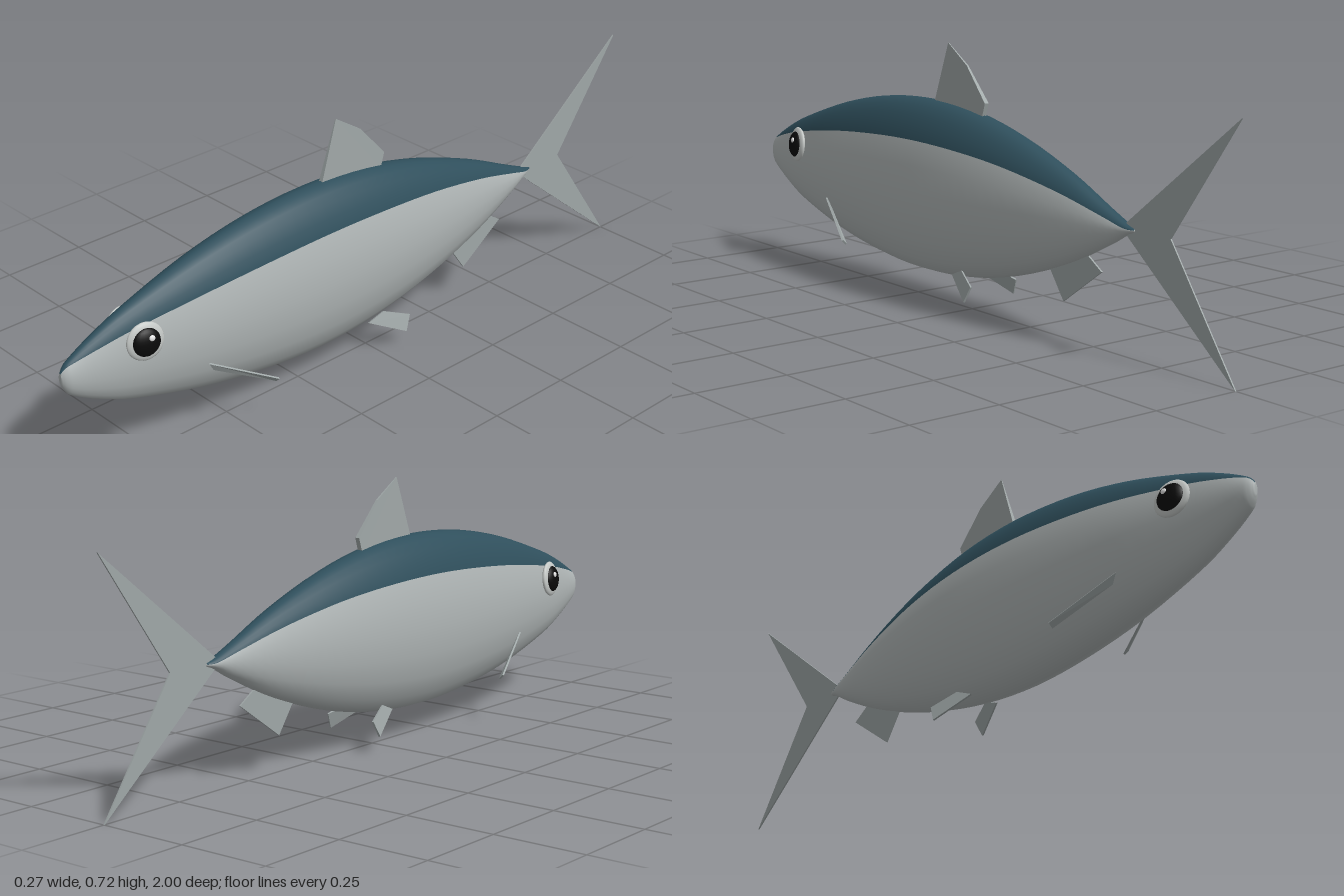
import * as THREE from 'three';

const mat = (name, color) => {
  const m = new THREE.MeshStandardMaterial({ color });
  m.name = name;
  return m;
};

// z, top, bottom, half width, height of the colour line
const STATIONS = [
  [1.0, 0.336, 0.305, 0.006, 0.335],
  [0.99, 0.35, 0.283, 0.016, 0.347],
  [0.97, 0.365, 0.262, 0.024, 0.357],
  [0.9, 0.402, 0.222, 0.037, 0.376],
  [0.8, 0.443, 0.18, 0.053, 0.397],
  [0.6, 0.505, 0.126, 0.082, 0.427],
  [0.4, 0.545, 0.092, 0.098, 0.446],
  [0.2, 0.56, 0.077, 0.105, 0.455],
  [0.0, 0.547, 0.09, 0.102, 0.45],
  [-0.2, 0.504, 0.13, 0.087, 0.43],
  [-0.4, 0.435, 0.197, 0.06, 0.391],
  [-0.55, 0.368, 0.268, 0.033, 0.349],
  [-0.62, 0.338, 0.308, 0.017, 0.328],
  [-0.65, 0.328, 0.32, 0.006, 0.325],
];

// Lofted oval body: each ring is split at the colour line
function bodyGeometry() {
  const curve = (pick) => new THREE.CatmullRomCurve3(
    STATIONS.map((s) => new THREE.Vector3(...pick.map((k) => s[k]))), false, 'catmullrom', 0.5);
  const outline = curve([0, 1, 2]), sides = curve([0, 3, 4]);
  const rings = 52, upper = 10, lower = 14, n = upper + lower;
  const pos = [], top = [], belly = [];
  for (let i = 0; i <= rings; i++) {
    const a = outline.getPoint(i / rings), b = sides.getPoint(i / rings);
    const cy = (a.y + a.z) / 2, h = (a.y - a.z) / 2;
    const start = Math.asin(THREE.MathUtils.clamp((b.z - cy) / h, -0.95, 0.95));
    for (let j = 0; j < n; j++) {
      const p = j < upper
        ? start + (Math.PI - 2 * start) * j / upper
        : Math.PI - start + (Math.PI + 2 * start) * (j - upper) / lower;
      pos.push(b.y * Math.cos(p), cy + h * Math.sin(p), a.x);
    }
  }
  for (let i = 0; i < rings; i++) {
    for (let j = 0; j < n; j++) {
      const k = (j + 1) % n, a = i * n + j, b = i * n + k, c = a + n, d = b + n;
      (j < upper ? top : belly).push(a, c, b, b, c, d);
    }
  }
  // End caps
  const last = rings * n;
  for (let j = 1; j < n - 1; j++) {
    belly.push(0, j, j + 1, last, last + j + 1, last + j);
  }
  const g = new THREE.BufferGeometry();
  g.setAttribute('position', new THREE.Float32BufferAttribute(pos, 3));
  g.setIndex([...top, ...belly]);
  g.addGroup(0, top.length, 0);
  g.addGroup(top.length, belly.length, 1);
  g.computeVertexNormals();
  return g;
}

// Upright fin on the centre plane from [z, y] points, thinning away from the base
function medianFin(points, thickness, taper = () => 1) {
  const shape = new THREE.Shape(points.map(([z, y]) => new THREE.Vector2(-z, y)));
  const g = new THREE.ExtrudeGeometry(shape, { depth: thickness, bevelEnabled: false });
  g.translate(0, 0, -thickness / 2);
  g.rotateY(Math.PI / 2);
  const p = g.attributes.position;
  for (let i = 0; i < p.count; i++) p.setX(i, p.getX(i) * taper(p.getY(i)));
  g.computeVertexNormals();
  return g;
}

// Thin four-cornered slab from its corner points
function slabFin(corners, thickness) {
  const [a, b, c, d] = corners.map((q) => new THREE.Vector3(...q));
  const normal = b.clone().sub(a).cross(d.clone().sub(a)).normalize().multiplyScalar(thickness / 2);
  const front = [a, b, c, d].map((q) => q.clone().add(normal));
  const back = [a, b, c, d].map((q) => q.clone().sub(normal));
  const tri = [];
  const quad = (p, q, r, s) => tri.push(p, q, r, p, r, s);
  quad(...front);
  quad(back[3], back[2], back[1], back[0]);
  for (let i = 0; i < 4; i++) {
    const k = (i + 1) % 4;
    quad(front[i], back[i], back[k], front[k]);
  }
  const g = new THREE.BufferGeometry().setFromPoints(tri);
  g.computeVertexNormals();
  return g;
}

export function createModel() {
  const backBlue = mat('back blue', 0x2f4f5c);
  const silver = mat('silver', 0xb0b6b6);
  const finGrey = mat('fin grey', 0x9fa7a7);
  finGrey.side = THREE.DoubleSide;
  const eyeWhite = mat('eye white', 0xc4c8c6);
  const black = mat('pupil black', 0x0a0a0a);
  const white = mat('glint white', 0xffffff);

  const fish = new THREE.Group();
  fish.name = 'fish';
  const add = (name, geometry, material, parent = fish) => {
    const m = new THREE.Mesh(geometry, material);
    m.name = name;
    parent.add(m);
    return m;
  };

  add('body', bodyGeometry(), [backBlue, silver]);

  // Fins on the centre line
  add('dorsalFin', medianFin(
    [[0.165, 0.54], [0.105, 0.72], [0.02, 0.665], [-0.063, 0.572], [-0.05, 0.53]],
    0.014, (y) => THREE.MathUtils.clamp((0.74 - y) / 0.18, 0.15, 1)), finGrey);
  add('tailFin', medianFin(
    [[-0.6, 0.325], [-1, 0.64], [-0.775, 0.325], [-1, 0.002]], 0.004), finGrey);
  add('analFin', medianFin(
    [[-0.32, 0.19], [-0.385, 0.098], [-0.53, 0.2], [-0.46, 0.245]], 0.005), finGrey);

  for (const [label, s] of [['left', 1], ['right', -1]]) {
    const mirror = (pts) => pts.map(([x, y, z]) => [s * x, y, z]).sort(() => 0);
    const order = (pts) => (s > 0 ? pts : pts.reverse());

    // Paired fins
    add(label + 'PectoralFin', slabFin(order(mirror(
      [[0.072, 0.228, 0.605], [0.068, 0.203, 0.59], [0.122, 0.125, 0.43], [0.134, 0.137, 0.43]])),
      0.005), finGrey);
    add(label + 'PelvicFin', slabFin(order(mirror(
      [[0.044, 0.098, 0.03], [0.085, 0.047, -0.075], [0.077, 0.09, -0.095], [0.05, 0.118, -0.02]])),
      0.005), finGrey);

    // Eye: pale disc, domed pupil and a small glint
    const eye = new THREE.Group();
    eye.name = label + 'Eye';
    eye.position.set(s * 0.055, 0.362, 0.785);
    eye.rotation.set(0, -s * 0.2, s * 0.1);
    fish.add(eye);
    const ball = new THREE.SphereGeometry(1, 20, 14);
    add('eyeDisc', ball, eyeWhite, eye).scale.set(0.013, 0.051, 0.051);
    const pupil = add('pupil', ball, black, eye);
    pupil.scale.set(0.017, 0.038, 0.038);
    pupil.position.x = s * 0.006;
    const glint = add('glint', ball, white, eye);
    glint.scale.set(0.004, 0.008, 0.008);
    glint.position.set(s * 0.021, 0.013, -0.01);
  }
  return fish;
}
